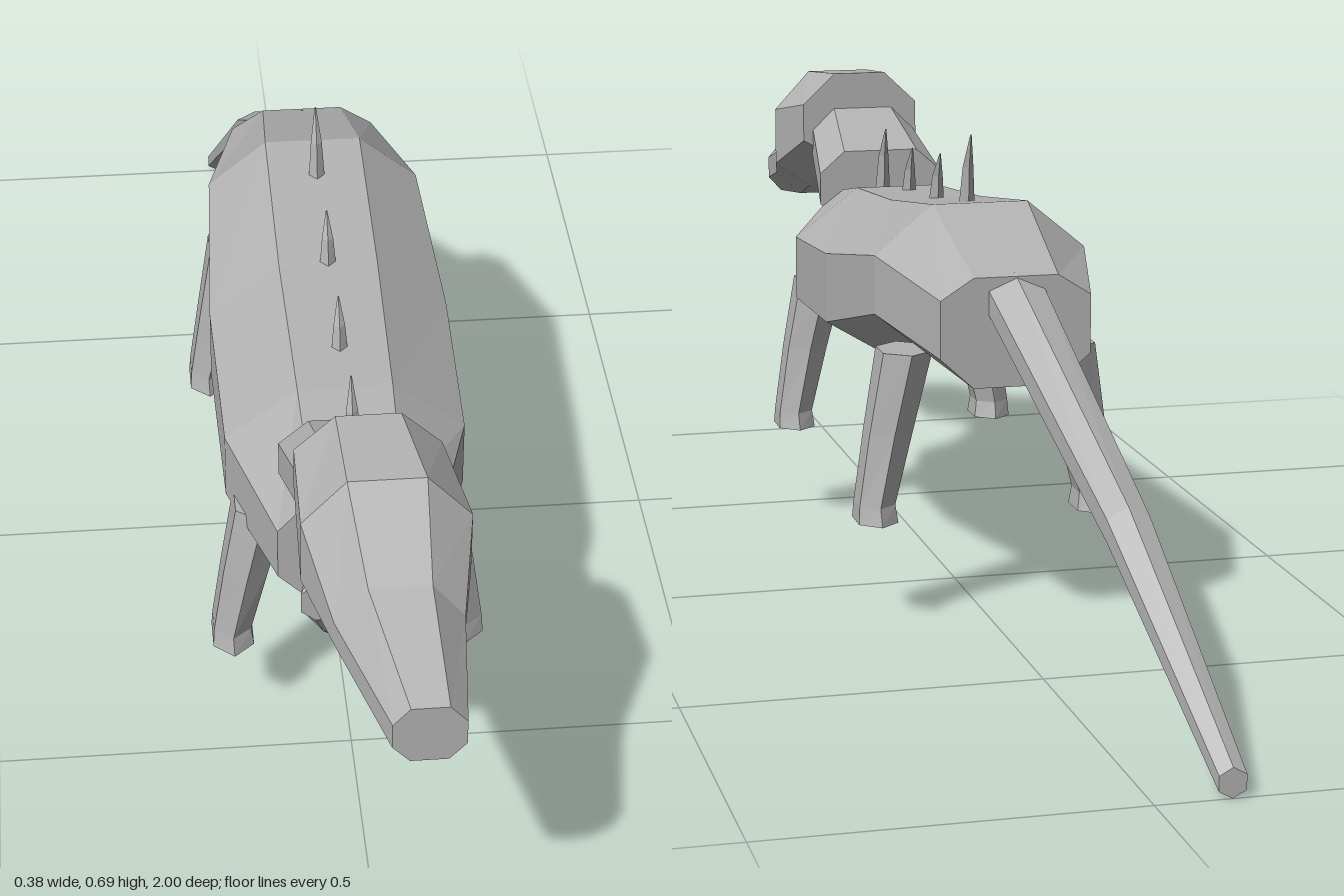
import * as THREE from 'three';

const grey = new THREE.MeshStandardMaterial({ color: 0xb2b2b2, flatShading: true });
grey.name = 'stone grey';

// Closed skin through matching rings of points, with flat end caps
function loft(name, rings) {
  const pos = [];
  const tri = (a, b, c) => pos.push(...a, ...b, ...c);
  const n = rings[0].length;
  for (let r = 0; r < rings.length - 1; r++) {
    const a = rings[r], b = rings[r + 1];
    for (let i = 0; i < n; i++) {
      const j = (i + 1) % n;
      tri(a[i], a[j], b[j]);
      tri(a[i], b[j], b[i]);
    }
  }
  const first = rings[0], last = rings[rings.length - 1];
  for (let i = 1; i < n - 1; i++) {
    tri(first[0], first[i + 1], first[i]);
    tri(last[0], last[i], last[i + 1]);
  }
  const geo = new THREE.BufferGeometry();
  geo.setAttribute('position', new THREE.Float32BufferAttribute(pos, 3));
  geo.computeVertexNormals();
  const mesh = new THREE.Mesh(geo, grey);
  mesh.name = name;
  return mesh;
}

// Eight-sided cross-section: centre x, half widths of side and top, four heights
const oct = ([z, cx, side, top, y0, y1, y2, y3]) => [
  [cx + side, y1, z], [cx + side, y2, z], [cx + top, y3, z], [cx - top, y3, z],
  [cx - side, y2, z], [cx - side, y1, z], [cx - top, y0, z], [cx + top, y0, z],
];

// Level ring with n corners, one of them pointing to +z
const level = (n, x, y, z, rx, rz) => Array.from({ length: n }, (_, i) => {
  const a = (i / n) * Math.PI * 2;
  return [x + Math.sin(a) * rx, y, z + Math.cos(a) * rz];
});

// Upright hexagon with corners at top and bottom
const upright = ([x, y, z, rx, ry]) => Array.from({ length: 6 }, (_, i) => {
  const a = (i / 6) * Math.PI * 2 + Math.PI / 2;
  return [x + Math.cos(a) * rx / 0.866, y + Math.sin(a) * ry, z];
});

export function createModel() {
  const model = new THREE.Group();
  model.name = 'lizard';

  // Trunk, back to front
  model.add(loft('body', [
    [-0.35, 0, 0.107, 0.06, 0.375, 0.418, 0.5, 0.53],
    [-0.15, 0, 0.155, 0.07, 0.386, 0.445, 0.53, 0.6],
    [0.12, 0, 0.17, 0.07, 0.32, 0.38, 0.485, 0.563],
    [0.38, 0, 0.165, 0.065, 0.308, 0.367, 0.465, 0.54],
    [0.57, 0, 0.107, 0.06, 0.328, 0.375, 0.452, 0.505],
  ].map(oct)));

  model.add(loft('neck', [
    [0.5, 0, 0.1, 0.06, 0.467, 0.495, 0.545, 0.58],
    [0.67, 0, 0.08, 0.045, 0.535, 0.56, 0.61, 0.645],
  ].map(oct)));

  // Head turned a little to its left
  model.add(loft('head', [
    [0.635, 0.005, 0.095, 0.042, 0.55, 0.58, 0.64, 0.69],
    [0.755, 0.017, 0.108, 0.05, 0.485, 0.525, 0.617, 0.68],
    [0.845, 0.025, 0.082, 0.04, 0.457, 0.495, 0.53, 0.582],
    [1, 0.046, 0.046, 0.024, 0.438, 0.462, 0.498, 0.523],
  ].map(oct)));

  // Hanging lower jaw
  model.add(loft('lowerJaw', [
    [0.595, -0.003, 0.038, 0.015, 0.28, 0.31, 0.375, 0.395],
    [0.68, -0.035, 0.042, 0.02, 0.37, 0.4, 0.48, 0.52],
    [0.73, -0.055, 0.034, 0.015, 0.435, 0.45, 0.48, 0.492],
  ].map(oct)));

  model.add(loft('tail', [
    [-0.1, 0.02, -1, 0.018, 0.02],
    [-0.05, 0.267, -0.72, 0.029, 0.03],
    [0, 0.5, -0.34, 0.04, 0.034],
  ].map(upright)));

  // Legs in mirrored pairs
  for (const [label, z, top] of [['front', 0.425, 0.39], ['hind', -0.178, 0.4]]) {
    for (const s of [1, -1]) {
      model.add(loft(label + (s > 0 ? 'LeftLeg' : 'RightLeg'), [
        level(6, s * 0.162, 0.15, z, 0.033, 0.05),
        level(6, s * 0.163, 0.176, z, 0.03, 0.042),
        level(6, s * 0.143, 0.28, z, 0.036, 0.044),
        level(6, s * 0.12, top, z - 0.005, 0.041, 0.052),
      ]));
    }
  }

  // Back spikes, leaning towards the tail
  for (const [z, y, h] of [[0.485, 0.52, 0.1], [0.298, 0.535, 0.082], [0.115, 0.555, 0.08], [-0.072, 0.58, 0.11]]) {
    model.add(loft('backSpike', [
      level(4, 0, y, z, 0.012, 0.011),
      level(4, 0, y + h * 0.55, z - 0.008, 0.008, 0.007),
      level(4, 0, y + h, z - 0.025, 0.001, 0.001),
    ]));
  }
  return model;
}
